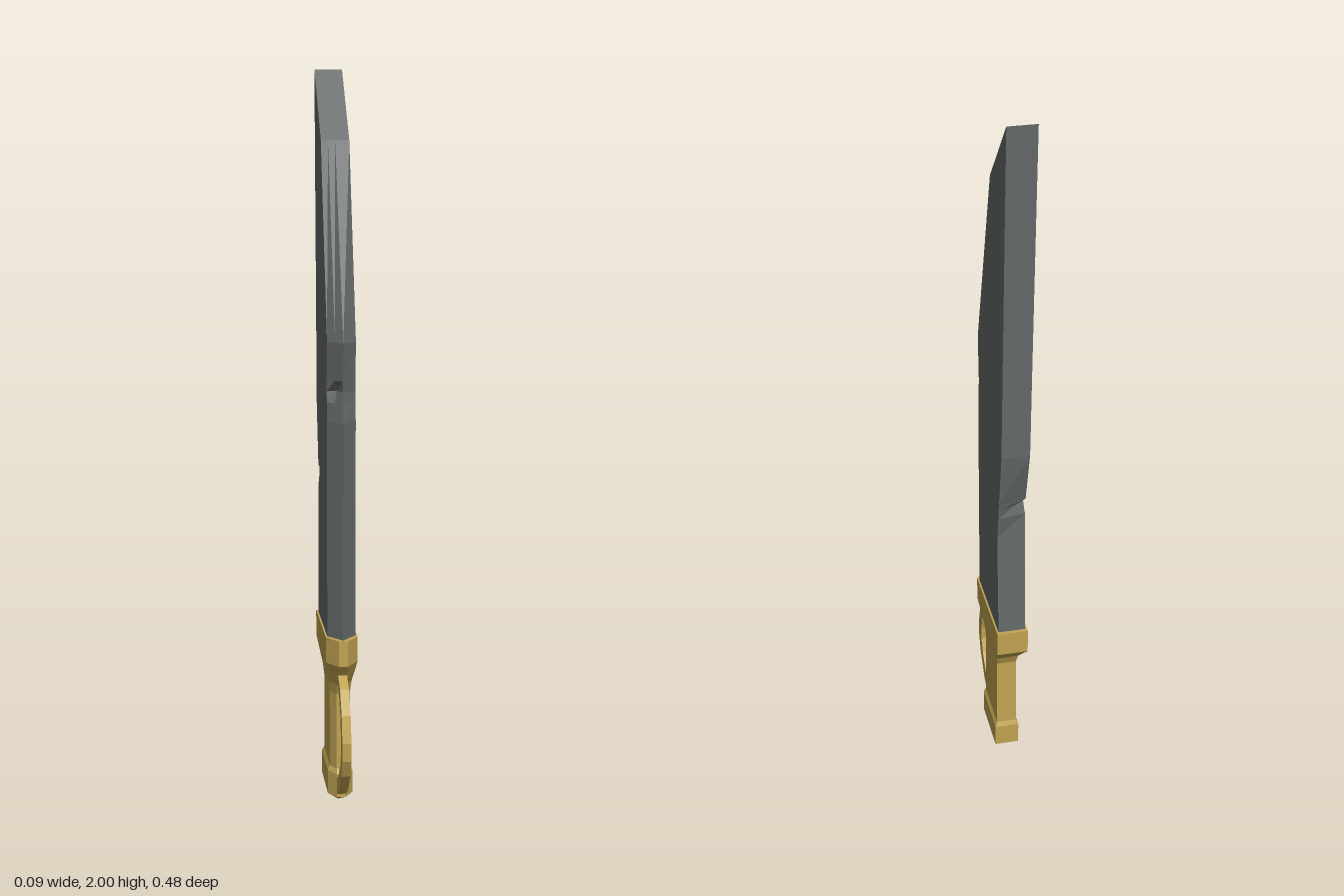
import * as THREE from 'three';

// Skin a stack of rings (each a list of [x, y, z], all the same length) with flat facets and end caps.
function loft(rings) {
  const n = rings[0].length;
  const index = [];
  for (let i = 0; i < rings.length - 1; i++) {
    for (let j = 0; j < n; j++) {
      const a = i * n + j, b = i * n + (j + 1) % n;
      index.push(a, b, b + n, a, b + n, a + n);
    }
  }
  const top = (rings.length - 1) * n;
  for (let j = 1; j < n - 1; j++) {
    index.push(0, j + 1, j);
    index.push(top, top + j, top + j + 1);
  }
  const geometry = new THREE.BufferGeometry();
  geometry.setAttribute('position', new THREE.Float32BufferAttribute(rings.flat(2), 3));
  geometry.setIndex(index);
  const flat = geometry.toNonIndexed();
  flat.computeVertexNormals();
  return flat;
}

// Blade ring: square spine at the back, bevelled to a central edge in front.
const W = 0.038;
function bladeRing([y, back, shoulder, edge, o = {}]) {
  const tip = y === 2;
  return [
    [W, y, back],
    [o.nickX ?? -W, y, o.backRight ?? back],
    [-W, y, tip ? back : back + 0.045],
    [-W, y, shoulder],
    o.notch ?? [-W / 2, y, (shoulder + edge) / 2],
    [0, y, edge],
    [W, y, shoulder],
  ];
}

// Hilt ring: flat back, bevelled to a narrow flat in front.
function hiltRing([y, back, shoulder, front, w, tip]) {
  return [
    [w, y, back], [-w, y, back], [-w, y, shoulder],
    [-tip, y, front], [tip, y, front], [w, y, shoulder],
  ];
}

export function createModel() {
  const steel = new THREE.MeshStandardMaterial({ color: 0x666a6b });
  steel.name = 'dark steel';
  const brass = new THREE.MeshStandardMaterial({ color: 0xc0a352 });
  brass.name = 'brass';
  const group = new THREE.Group();
  group.name = 'machete';
  const add = (name, geometry, material) => {
    const mesh = new THREE.Mesh(geometry, material);
    mesh.name = name;
    group.add(mesh);
  };

  // Blade with a worn spine and two small nicks on its right side
  add('blade', loft([
    [0.48, -0.155, 0.10, 0.145],
    [0.80, -0.14, 0.10, 0.145],
    [0.87, -0.152, 0.10, 0.145, { backRight: -0.138 }],
    [0.90, -0.157, 0.10, 0.145, { backRight: -0.135, nickX: -0.015 }],
    [0.92, -0.161, 0.10, 0.145, { backRight: -0.145 }],
    [1.08, -0.19, 0.10, 0.145],
    [1.13, -0.193, 0.094, 0.135],
    [1.16, -0.195, 0.09, 0.131, { notch: [-0.012, 1.16, 0.09] }],
    [1.19, -0.196, 0.092, 0.133],
    [1.29, -0.201, 0.10, 0.145],
    [1.81, -0.229, -0.06, -0.058],
    [2.00, -0.24, -0.24, -0.24],
  ].map(bladeRing)), steel);

  // Grip flaring up into the bolster and down into a pointed pommel
  add('hilt', loft([
    [0.00, 0.015, 0.015, 0.015, 0, 0],
    [0.04, -0.096, 0.07, 0.105, 0.034, 0.012],
    [0.105, -0.096, 0.07, 0.105, 0.034, 0.012],
    [0.118, -0.09, 0.065, 0.095, 0.028, 0.012],
    [0.33, -0.086, 0.065, 0.095, 0.028, 0.012],
    [0.36, -0.10, 0.072, 0.105, 0.031, 0.012],
    [0.425, -0.166, 0.11, 0.155, 0.043, 0.012],
    [0.495, -0.166, 0.11, 0.155, 0.043, 0.012],
  ].map(hiltRing)), brass);

  // Knuckle guard, drawn in the side plane (z, y)
  const outline = [
    [0.08, 0.39], [0.13, 0.395], [0.18, 0.37], [0.22, 0.31], [0.24, 0.24], [0.238, 0.19],
    [0.215, 0.14], [0.16, 0.08], [0.08, 0.035], [0.08, 0.08], [0.14, 0.115], [0.185, 0.16],
    [0.204, 0.20], [0.204, 0.24], [0.187, 0.30], [0.155, 0.345], [0.12, 0.362], [0.08, 0.35],
  ];
  const bow = new THREE.ExtrudeGeometry(
    new THREE.Shape(outline.map(([z, y]) => new THREE.Vector2(z, y))),
    { depth: 0.024, bevelEnabled: false });
  bow.rotateY(-Math.PI / 2).translate(0.012, 0, 0);
  add('knuckleGuard', bow, brass);

  return group;
}
